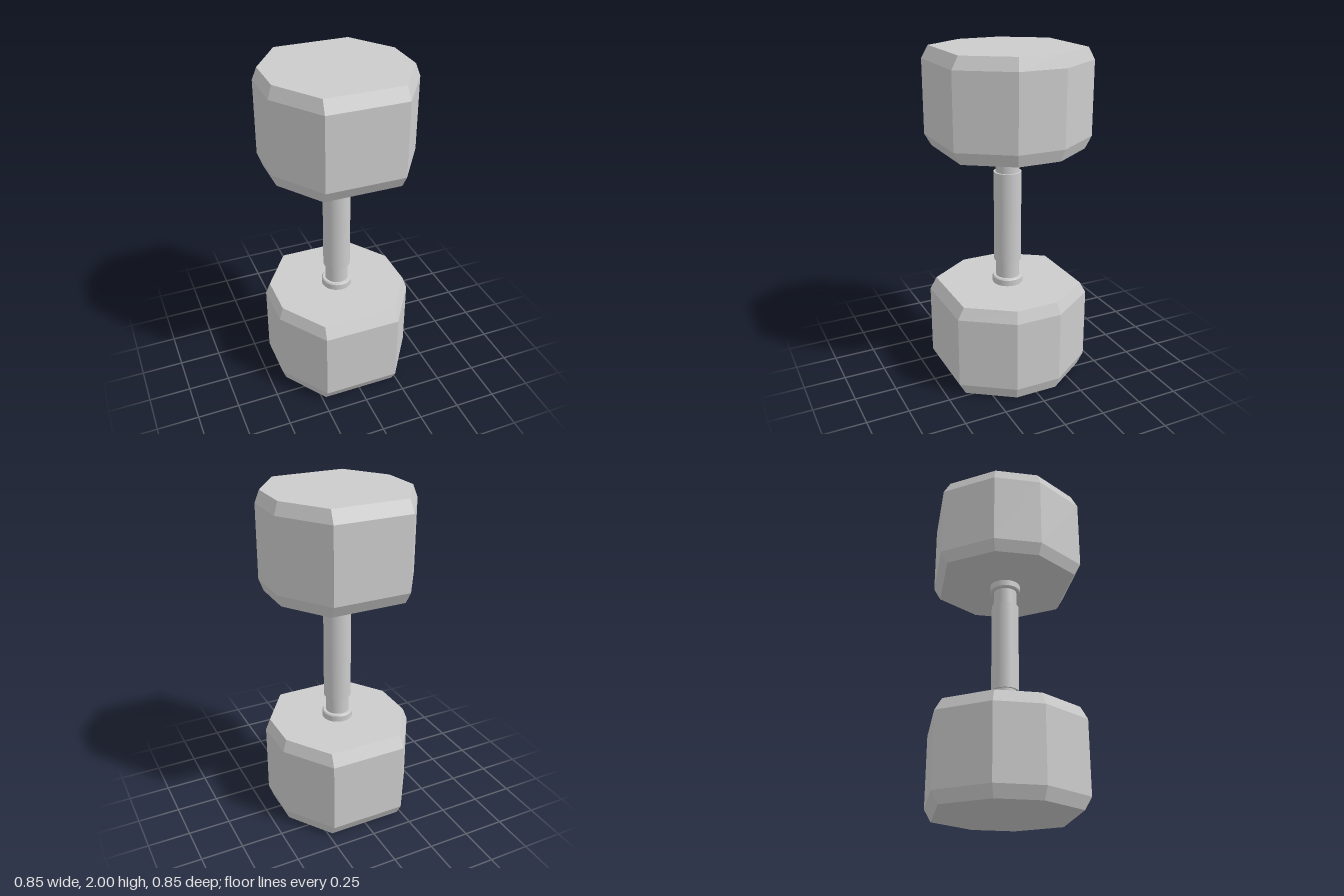
import * as THREE from 'three';

const grey = new THREE.MeshStandardMaterial({ color: 0xcccccc });
const flatGrey = new THREE.MeshStandardMaterial({ color: 0xcccccc, flatShading: true });

// Eight-sided outline, counter-clockwise seen from above
function octagon(wideX, narrowZ, narrowX, wideZ, y) {
  return [
    [wideX, narrowZ], [wideX, -narrowZ], [narrowX, -wideZ], [-narrowX, -wideZ],
    [-wideX, -narrowZ], [-wideX, narrowZ], [-narrowX, wideZ], [narrowX, wideZ],
  ].map(([x, z]) => new THREE.Vector3(x, y, z));
}

// Bevelled weight: four stacked outlines joined by flat faces and capped
function headGeometry(height, bevel) {
  const end = (y) => octagon(0.4, 0.129, 0.225, 0.385, y);
  const full = (y) => octagon(0.425, 0.14, 0.23, 0.425, y);
  const rings = [end(0), full(bevel), full(height - bevel), end(height)];
  const points = [];
  for (let r = 0; r < 3; r++) {
    for (let i = 0; i < 8; i++) {
      const j = (i + 1) % 8;
      const [a, b, c, d] = [rings[r][i], rings[r][j], rings[r + 1][j], rings[r + 1][i]];
      points.push(a, b, c, a, c, d);
    }
  }
  for (let i = 1; i < 7; i++) {
    points.push(rings[3][0], rings[3][i], rings[3][i + 1]);
    points.push(rings[0][0], rings[0][i + 1], rings[0][i]);
  }
  const geometry = new THREE.BufferGeometry().setFromPoints(points);
  geometry.computeVertexNormals();
  return geometry;
}

// Round bar section between two heights
function bar(name, radius, y0, y1) {
  const mesh = new THREE.Mesh(new THREE.CylinderGeometry(radius, radius, y1 - y0, 48), grey);
  mesh.name = name;
  mesh.position.y = (y0 + y1) / 2;
  return mesh;
}

export function createModel() {
  const group = new THREE.Group();
  group.name = 'dumbbell';

  const headHeight = 0.574;
  const head = headGeometry(headHeight, 0.071);
  for (const [name, y] of [['lowerHead', 0], ['upperHead', 2 - headHeight]]) {
    const mesh = new THREE.Mesh(head, flatGrey);
    mesh.name = name;
    mesh.position.y = y;
    group.add(mesh);
  }

  // Handle: thick grip, with a thinner neck and a collar at each end
  group.add(bar('grip', 0.082, 0.724, 1.28));
  group.add(bar('lowerNeck', 0.07, 0.6, 0.73), bar('upperNeck', 0.07, 1.27, 1.4));

  // Collar with a softened outer edge
  const profile = [[0.092, 0], [0.092, 0.036], [0.092, 0.036], [0.086, 0.044], [0.086, 0.044], [0.06, 0.044]];
  const collar = new THREE.LatheGeometry(profile.map(([r, y]) => new THREE.Vector2(r, y)), 48);
  for (const [name, y, turn] of [['lowerCollar', headHeight, 0], ['upperCollar', 2 - headHeight, Math.PI]]) {
    const mesh = new THREE.Mesh(collar, grey);
    mesh.name = name;
    mesh.position.y = y;
    mesh.rotation.x = turn;
    group.add(mesh);
  }
  return group;
}
